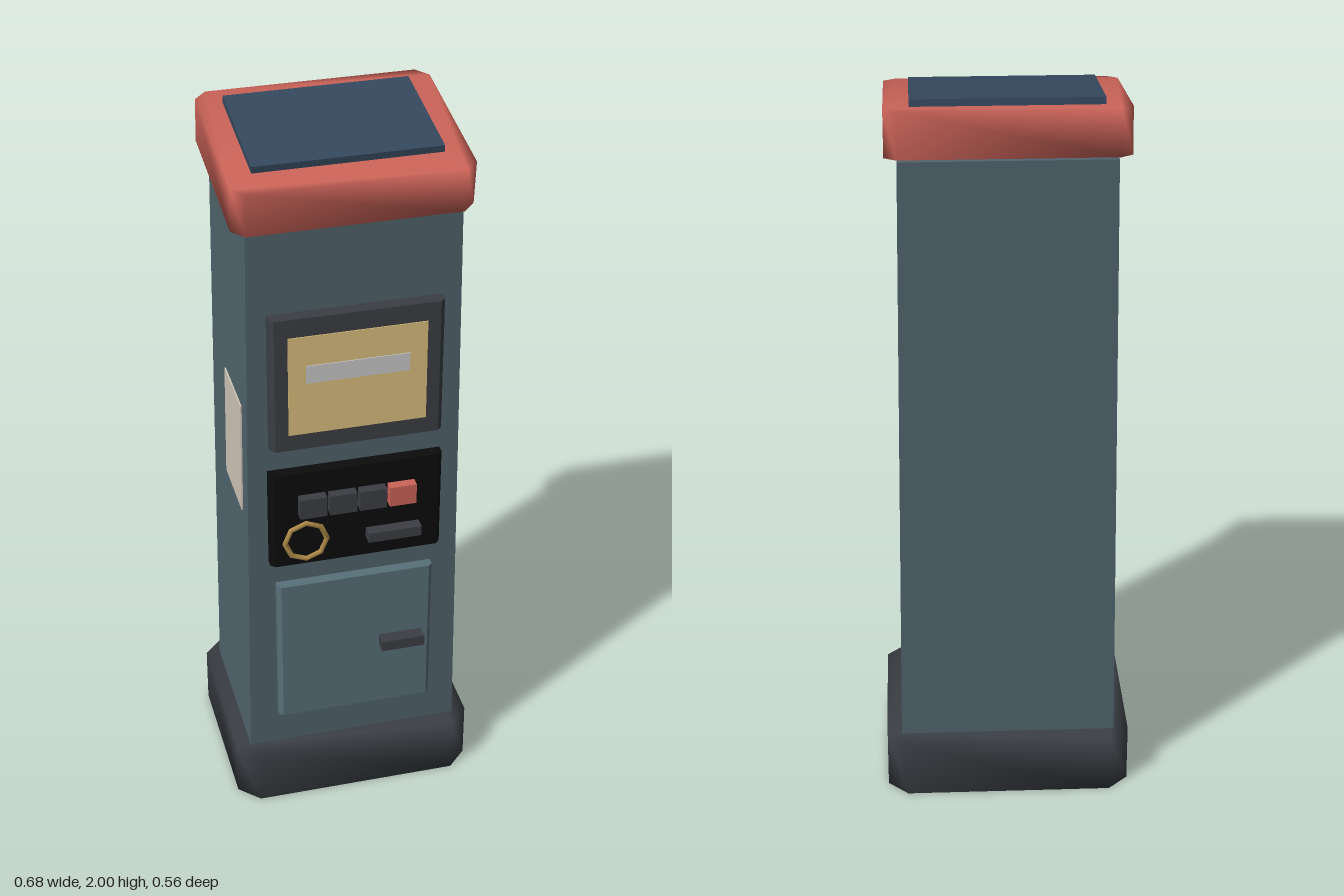
import * as THREE from 'three';
import { mergeVertices } from 'three/addons/utils/BufferGeometryUtils.js';

const paint = (color) => new THREE.MeshStandardMaterial({ color });
const MAT = {
  shell: paint(0x50646d), door: paint(0x587079), red: paint(0xcc6459), dark: paint(0x3b3e44),
  black: paint(0x0c0c0c), solar: paint(0x35485e), screen: paint(0xddc080), pale: paint(0xcccccc),
  brass: paint(0xb08c48), label: paint(0xcfc6b8),
};

// Box with chamfered vertical edges; smooth ones share normals over all edges
function chamferBox(w, h, d, c, smooth = true) {
  const x = w / 2, z = d / 2;
  const shape = new THREE.Shape([
    [x - c, -z], [x, -z + c], [x, z - c], [x - c, z],
    [-x + c, z], [-x, z - c], [-x, -z + c], [-x + c, -z],
  ].map(([a, b]) => new THREE.Vector2(a, b)));
  let geo = new THREE.ExtrudeGeometry(shape, { depth: h, bevelEnabled: false });
  geo.translate(0, 0, -h / 2).rotateX(-Math.PI / 2);
  if (smooth) {
    geo.deleteAttribute('uv');
    geo.deleteAttribute('normal');
    geo = mergeVertices(geo);
    geo.computeVertexNormals();
  }
  return geo;
}

export function createModel() {
  const model = new THREE.Group();
  model.name = 'ticketMachine';

  const add = (name, geo, mat, x, y, z, parent = model) => {
    const mesh = new THREE.Mesh(geo, mat);
    mesh.name = name;
    mesh.position.set(x, y, z);
    parent.add(mesh);
    return mesh;
  };
  // Box given by its left/right, bottom/top and back/front limits
  const block = (name, mat, x0, x1, y0, y1, z0, z1, chamfer = 0) => {
    const w = x1 - x0, h = y1 - y0, d = z1 - z0;
    const geo = chamfer ? chamferBox(w, h, d, chamfer, false) : new THREE.BoxGeometry(w, h, d);
    return add(name, geo, mat, (x0 + x1) / 2, (y0 + y1) / 2, (z0 + z1) / 2);
  };

  // Plinth
  add('plinth', chamferBox(0.68, 0.165, 0.545, 0.055), MAT.dark, 0, 0.0825, -0.008);

  // Pillar, narrowing slightly towards the top
  const pillar = new THREE.BoxGeometry(0.6, 1.7, 0.437);
  const pos = pillar.attributes.position;
  for (let i = 0; i < pos.count; i++) if (pos.getY(i) > 0) pos.setX(i, pos.getX(i) * 0.935);
  pillar.computeVertexNormals();
  add('pillar', pillar, MAT.shell, 0, 1.0, -0.0065);

  // Sloping cap with solar panel
  const cap = new THREE.Group();
  cap.name = 'cap';
  cap.position.set(0, 1.9, -0.012);
  cap.rotation.x = 0.117;
  model.add(cap);
  add('roof', chamferBox(0.626, 0.123, 0.49, 0.032), MAT.red, 0, 0, 0, cap);
  add('solarPanel', new THREE.BoxGeometry(0.494, 0.03, 0.34), MAT.solar, 0, 0.065, -0.016, cap);

  // Display
  block('displayFrame', MAT.dark, -0.232, 0.232, 1.182, 1.575, 0.2, 0.249, 0.012);
  block('displayScreen', MAT.screen, -0.185, 0.185, 1.23, 1.522, 0.24, 0.2515);
  block('displayStrip', MAT.pale, -0.138, 0.138, 1.384, 1.436, 0.245, 0.254);

  // Control panel with four keys, coin ring and card slot
  block('controlPanel', MAT.black, -0.237, 0.237, 0.808, 1.103, 0.2, 0.245, 0.012);
  for (let i = 0; i < 4; i++) {
    const x = -0.124 + i * 0.082;
    block('key' + (i + 1), i === 3 ? MAT.red : MAT.dark, x - 0.037, x + 0.037, 0.973, 1.033, 0.235, 0.272);
  }
  add('coinRing', new THREE.TorusGeometry(0.058, 0.008, 6, 8), MAT.brass, -0.14, 0.882, 0.246);
  block('cardSlot', MAT.dark, 0.026, 0.174, 0.867, 0.897, 0.235, 0.277);

  // Service door and handle
  block('serviceDoor', MAT.door, -0.219, 0.219, 0.28, 0.732, 0.2, 0.242, 0.01);
  block('doorHandle', MAT.dark, 0.068, 0.19, 0.486, 0.518, 0.235, 0.279);

  // Information label on the right flank, lying along the taper
  const label = add('sideLabel', new THREE.BoxGeometry(0.008, 0.33, 0.2), MAT.label, -0.289, 1.11, 0.05);
  label.rotation.z = -0.0115;

  return model;
}
